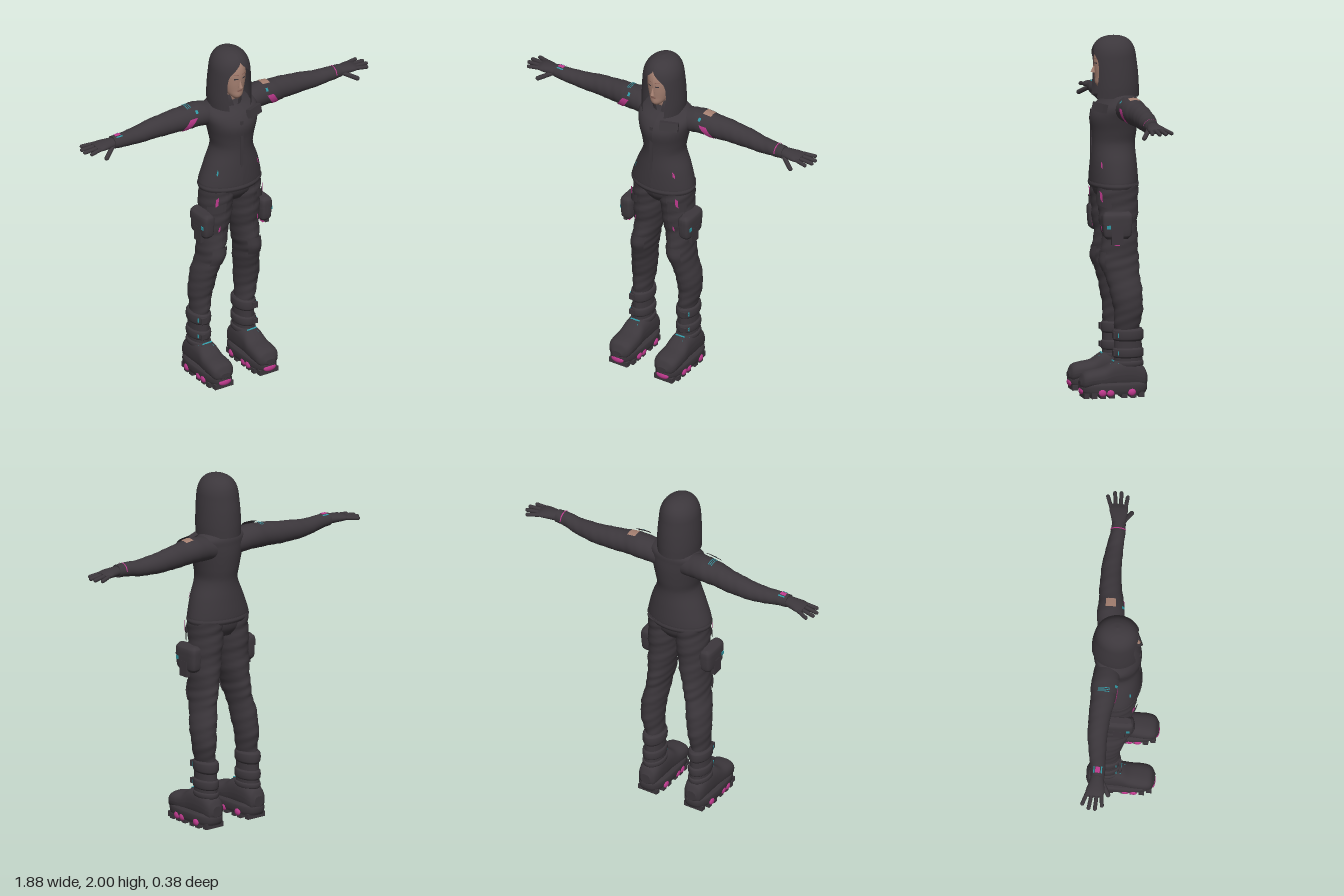
import * as THREE from 'three';

const mat = (name, color, side = THREE.DoubleSide) => {
  const m = new THREE.MeshStandardMaterial({ color, side });
  m.name = name;
  return m;
};

// Smooth interpolation of profile rows [t, a, b, ra, rb, gap] at position t
function rowAt(rows, t) {
  let i = 0;
  while (i < rows.length - 2 && t > rows[i + 1][0]) i++;
  const p = rows[i], q = rows[i + 1], h = q[0] - p[0];
  const u = Math.min(1, Math.max(0, (t - p[0]) / h));
  const slope = (k, c) => {
    const a = rows[Math.max(0, k - 1)], b = rows[Math.min(rows.length - 1, k + 1)];
    return (b[c] - a[c]) / (b[0] - a[0]);
  };
  return p.map((v, c) => {
    if (c === 0) return t;
    const u2 = u * u, u3 = u2 * u;
    return v * (2 * u3 - 3 * u2 + 1) + q[c] * (3 * u2 - 2 * u3) +
      h * (slope(i, c) * (u3 - 2 * u2 + u) + slope(i + 1, c) * (u3 - u2));
  });
}

// Point on a lofted surface; axis y uses (x,z), axis x uses (z,y), axis z uses (y,x)
function surfacePoint(rows, axis, t, ang, { power = 2, fold = 0, off = 0 } = {}) {
  const [, a, b, ra, rb] = rowAt(rows, t);
  const sup = v => Math.sign(v) * Math.abs(v) ** (2 / power);
  const k = 1 + fold * Math.sin(t * 75 + 2 * ang) * Math.sin(t * 31 + ang);
  const A = a + (Math.max(ra, 0.001) * k + off) * sup(Math.cos(ang));
  const B = b + (Math.max(rb, 0.001) * k + off) * sup(Math.sin(ang));
  return axis === 'y' ? [A, t, B] : axis === 'x' ? [t, B, A] : [B, A, t];
}

function gridGeometry(rings, caps) {
  const n = rings[0].length, pos = rings.flat(2), idx = [];
  for (let i = 0; i < rings.length - 1; i++)
    for (let j = 0; j < n - 1; j++) {
      const p = i * n + j, q = p + n;
      idx.push(p, q, p + 1, q, q + 1, p + 1);
    }
  if (caps) for (const [r, top] of [[0, false], [rings.length - 1, true]]) {
    const base = pos.length / 3, ring = rings[r];
    const mid = [0, 1, 2].map(c => ring.slice(1).reduce((s, p) => s + p[c], 0) / (n - 1));
    pos.push(...ring.flat(), ...mid);
    for (let j = 0; j < n - 1; j++)
      top ? idx.push(base + j + 1, base + j, base + n) : idx.push(base + j, base + j + 1, base + n);
  }
  const g = new THREE.BufferGeometry();
  g.setAttribute('position', new THREE.Float32BufferAttribute(pos, 3));
  g.setIndex(idx);
  g.computeVertexNormals();
  return g;
}

export function createModel() {
  const model = new THREE.Group();
  const cloth = mat('charcoal cloth', 0x3c373c), skin = mat('skin', 0xa58071);
  const pink = mat('pink accent', 0xbf3a8e), cyan = mat('cyan accent', 0x2f98a4);
  const lip = mat('lips', 0x8c6258);

  const add = (name, geo, m, x = 0, y = 0, z = 0, rot = [0, 0, 0]) => {
    const mesh = new THREE.Mesh(geo, m);
    mesh.name = name;
    mesh.position.set(x, y, z);
    mesh.rotation.set(...rot);
    model.add(mesh);
    return mesh;
  };
  const loft = (name, rows, axis, m, opt = {}) => {
    const n = 36, steps = opt.steps || 5, rings = [];
    for (let i = 0; i <= (rows.length - 1) * steps; i++) {
      const k = Math.min(Math.floor(i / steps), rows.length - 2), f = i / steps - k;
      const t = rows[k][0] + (rows[k + 1][0] - rows[k][0]) * f;
      const gap = rowAt(rows, t)[5] || 0;
      rings.push(Array.from({ length: n + 1 }, (_, j) => surfacePoint(rows, axis, t,
        Math.PI / 2 + gap + (2 * Math.PI - 2 * gap) * j / n, opt)));
    }
    return add(name, gridGeometry(rings, !opt.open), m);
  };
  // Thin painted patch that follows a lofted surface
  const patch = (name, rows, axis, t0, t1, a0, a1, m, skew = 0, off = 0.004) => {
    const rings = [];
    for (let i = 0; i <= 6; i++) rings.push(Array.from({ length: 9 }, (_, j) =>
      surfacePoint(rows, axis, t0 + (t1 - t0) * i / 6 + skew * j / 8, a0 + (a1 - a0) * j / 8, { off })));
    return add(name, gridGeometry(rings, false), m);
  };
  const box = (name, w, h, d, m, x, y, z, rot) => add(name, new THREE.BoxGeometry(w, h, d), m, x, y, z, rot);
  const capsule = (name, a, b, r, m) => {
    const p = new THREE.Vector3(...a), q = new THREE.Vector3(...b), d = q.clone().sub(p);
    const mesh = add(name, new THREE.CapsuleGeometry(r, d.length(), 5, 12), m);
    mesh.position.copy(p).add(q).multiplyScalar(0.5);
    mesh.quaternion.setFromUnitVectors(new THREE.Vector3(0, 1, 0), d.normalize());
  };

  // Head, face and neck
  const face = [[1.715, -0.01, 0.035, 0.015, 0.02], [1.735, -0.01, 0.027, 0.036, 0.045],
    [1.77, -0.01, 0, 0.058, 0.074], [1.82, -0.01, -0.005, 0.07, 0.083], [1.88, -0.01, -0.01, 0.075, 0.088],
    [1.93, -0.01, -0.02, 0.07, 0.08], [1.96, -0.01, -0.03, 0.045, 0.05]];
  loft('head', face, 'y', skin);
  loft('neck', [[1.64, -0.005, -0.06, 0.055, 0.055], [1.7, -0.007, -0.04, 0.045, 0.05],
    [1.78, -0.01, -0.03, 0.046, 0.05]], 'y', skin);
  const nose = add('nose', new THREE.ConeGeometry(0.012, 0.05, 10), skin, -0.01, 1.82, 0.08, [-0.15, 0, 0]);
  nose.scale.z = 1.2;
  patch('mouth', face, 'y', 1.768, 1.778, 1.33, 1.81, lip, 0, 0.003);
  for (const a of [1.08, 1.74]) {
    patch('eye', face, 'y', 1.846, 1.853, a, a + 0.32, cloth, 0, 0.002);
    patch('eyebrow', face, 'y', 1.872, 1.876, a - 0.04, a + 0.36, lip, 0, 0.002);
  }

  // Straight parted hair, open around the face
  loft('hair', [[1.66, -0.01, -0.035, 0.118, 0.137, 0.62], [1.72, -0.01, -0.035, 0.12, 0.137, 0.65],
    [1.8, -0.01, -0.033, 0.117, 0.134, 0.72], [1.87, -0.01, -0.03, 0.112, 0.128, 0.64],
    [1.91, -0.01, -0.03, 0.107, 0.122, 0.32], [1.945, -0.01, -0.03, 0.094, 0.11, 0.02],
    [1.975, -0.01, -0.03, 0.07, 0.085, 0], [1.993, -0.01, -0.03, 0.037, 0.047, 0],
    [2.0, -0.01, -0.03, 0.001, 0.001, 0]], 'y', cloth, { open: true });

  // Jacket with collar, hem and chest pocket
  const jacket = [[1.165, -0.01, -0.03, 0.188, 0.13], [1.2, -0.01, -0.03, 0.188, 0.134],
    [1.3, -0.003, -0.028, 0.158, 0.128], [1.4, 0, -0.027, 0.12, 0.12], [1.47, 0, -0.03, 0.129, 0.126],
    [1.55, 0, -0.029, 0.15, 0.133], [1.61, 0, -0.042, 0.165, 0.118], [1.655, 0, -0.065, 0.15, 0.09],
    [1.69, -0.003, -0.06, 0.075, 0.065]];
  loft('jacket', jacket, 'y', cloth);
  loft('hem band', [[1.16, -0.01, -0.03, 0.188, 0.131], [1.175, -0.01, -0.03, 0.193, 0.138],
    [1.19, -0.01, -0.03, 0.189, 0.135]], 'y', cloth);
  loft('collar', [[1.66, -0.005, -0.05, 0.076, 0.078, 0.15], [1.7, -0.007, -0.045, 0.07, 0.073, 0.3],
    [1.73, -0.008, -0.045, 0.064, 0.067, 0.45]], 'y', cloth, { open: true });
  box('chest pocket', 0.105, 0.05, 0.03, cloth, 0.088, 1.612, 0.068, [-0.25, 0.4, 0.06]);
  box('front placket', 0.018, 0.4, 0.006, cloth, -0.01, 1.39, 0.096);
  patch('hem mark', jacket, 'y', 1.27, 1.3, 0.72, 0.8, pink, 0.015);
  patch('hem mark', jacket, 'y', 1.26, 1.285, 2.48, 2.54, cyan, 0.01);

  // Sleeves, gloves and arm details
  for (const s of [1, -1]) {
    const side = rows => s > 0 ? rows : rows.map(([x, ...r]) => [-x, ...r]).reverse();
    const arm = side([[0.08, -0.075, 1.595, 0.07, 0.065], [0.2, -0.085, 1.61, 0.075, 0.07],
      [0.3, -0.09, 1.605, 0.068, 0.067], [0.4, -0.1, 1.598, 0.06, 0.062], [0.5, -0.102, 1.592, 0.055, 0.055],
      [0.6, -0.095, 1.589, 0.048, 0.046], [0.68, -0.085, 1.595, 0.042, 0.04], [0.75, -0.083, 1.598, 0.038, 0.036]]);
    loft('sleeve', arm, 'x', cloth, { fold: 0.03 });
    loft('hand', side([[0.72, -0.083, 1.598, 0.03, 0.027], [0.78, -0.086, 1.598, 0.042, 0.026],
      [0.83, -0.09, 1.597, 0.052, 0.021], [0.86, -0.092, 1.594, 0.048, 0.013]]), 'x', cloth);
    [[-0.134, 0.905, -0.155], [-0.107, 0.928, -0.118], [-0.079, 0.93, -0.083], [-0.053, 0.908, -0.046]]
      .forEach(([z, tip, tz]) => capsule('finger', [s * 0.845, 1.596, z], [s * tip, 1.588, tz], 0.011, cloth));
    capsule('thumb', [s * 0.76, 1.59, -0.06], [s * 0.83, 1.553, -0.018], 0.013, cloth);
    // Slanted sleeve stripe, shoulder tab and cuff band
    patch('sleeve stripe', arm, 'x', s > 0 ? 0.28 : -0.325, s > 0 ? 0.325 : -0.28, -0.8, 0.25, pink, -s * 0.05);
    patch('shoulder tab', arm, 'x', s > 0 ? 0.19 : -0.27, s > 0 ? 0.27 : -0.19, 0.5, 1.1, cloth, 0, 0.012);
    patch('shoulder light', arm, 'x', s > 0 ? 0.225 : -0.24, s > 0 ? 0.24 : -0.225, 0.55, 0.8, cyan, 0, 0.014);
    if (s > 0) {
      patch('bare shoulder patch', arm, 'x', 0.23, 0.28, 1.2, 1.95, skin);
      patch('wrist line', arm, 'x', 0.706, 0.712, 0, Math.PI, pink);
    } else {
      for (const x of [-0.27, -0.26, -0.25])
        patch('shoulder line', arm, 'x', x, x + 0.004, 1.1, 2.0, cyan);
      patch('wrist patch', arm, 'x', -0.735, -0.7, 1.3, 1.9, pink);
      for (const a of [1.0, 2.0]) patch('wrist light', arm, 'x', -0.735, -0.695, a, a + 0.18, cyan);
    }
  }

  // Trousers, pouches and boots
  loft('pelvis', [[1.08, -0.008, -0.035, 0.09, 0.08], [1.13, -0.008, -0.033, 0.165, 0.112],
    [1.2, -0.008, -0.03, 0.18, 0.122]], 'y', cloth);
  for (const s of [1, -1]) {
    const leg = [[0.36, -0.03, 0.147, -0.08, 0.048, 0.068], [0.43, -0.024, 0.15, -0.08, 0.055, 0.076],
      [0.5, -0.018, 0.15, -0.083, 0.063, 0.083], [0.6, -0.017, 0.142, -0.068, 0.066, 0.092],
      [0.7, -0.015, 0.125, -0.05, 0.062, 0.1], [0.75, -0.013, 0.118, -0.039, 0.065, 0.108],
      [0.8, -0.012, 0.111, -0.042, 0.069, 0.105], [0.9, -0.01, 0.1, -0.042, 0.079, 0.1],
      [1.0, -0.01, 0.093, -0.036, 0.086, 0.108], [1.1, -0.008, 0.088, -0.035, 0.09, 0.114],
      [1.18, -0.008, 0.085, -0.032, 0.092, 0.118]].map(([y, c, d, ...r]) => [y, c + s * d, ...r]);
    loft('trouser leg', leg, 'y', cloth, { fold: 0.05 });
    const out = a => s > 0 ? a : Math.PI - a; // mirrors an angle round the leg
    const legPatch = (name, y0, y1, a, b, m, skew, off) => patch(name, leg, 'y', y0, y1,
      Math.min(out(a), out(b)), Math.max(out(a), out(b)), m, skew * s, off);
    legPatch('thigh pocket flap', 1.05, 1.1, 0.45, 1.45, cloth, 0.03, 0.012);
    legPatch('hip strap', 1.09, 1.14, 0.88, 1.02, pink, 0.015, 0.015);
    legPatch('knee pad', 0.7, 0.81, 0.9, 2.2, cloth, 0, 0.008);
    legPatch('thigh mark', 0.92, 0.95, 1.2, 1.3, pink, 0.01, 0.006);

    // Side pouch with flap, buckle and hanging strap
    const px = -0.012 + s * 0.19;
    loft('cargo pouch', [[0.89, px, -0.01, 0.022, 0.06], [0.91, px, -0.01, 0.034, 0.078],
      [0.98, px, -0.01, 0.036, 0.082], [1.0, px, -0.01, 0.034, 0.08]], 'y', cloth, { power: 4 });
    loft('pouch flap', [[0.975, px, -0.01, 0.04, 0.086], [1.02, px, -0.01, 0.036, 0.084],
      [1.04, px, -0.01, 0.018, 0.07]], 'y', cloth, { power: 4 });
    box('buckle', 0.022, 0.09, 0.065, cloth, px + s * 0.026, 0.905, -0.005);
    box('hanging strap', 0.02, 0.055, 0.03, pink, px + s * 0.016, 0.882, -0.005);
    box('pouch light', 0.004, 0.02, 0.02, cyan, px + s * 0.038, 0.96, 0.045);

    // Boot shaft with padded straps
    const bx = -0.03 + s * 0.148;
    loft('boot shaft', [[0.1, bx, -0.08, 0.055, 0.082], [0.2, bx, -0.085, 0.053, 0.08],
      [0.38, bx, -0.082, 0.05, 0.076]], 'y', cloth);
    for (const [y, h] of [[0.345, 0.035], [0.245, 0.03], [0.185, 0.018]]) {
      loft('boot cuff', [[y - h, bx, -0.085, 0.05, 0.077], [y - h * 0.6, bx, -0.085, 0.06, 0.086],
        [y + h * 0.6, bx, -0.085, 0.06, 0.086], [y + h, bx, -0.085, 0.05, 0.076]], 'y', cloth);
      box('cuff buckle', 0.035, h, 0.012, cloth, bx + s * 0.02, y, 0.0);
      box('cuff light', 0.006, h * 0.7, 0.006, cyan, bx + s * 0.043, y, -0.022);
    }
    // Foot and chunky sole
    loft('boot foot', [[-0.188, 0.1, bx, 0.03, 0.03], [-0.17, 0.105, bx, 0.06, 0.052],
      [-0.1, 0.125, bx, 0.085, 0.063], [0, 0.122, bx, 0.08, 0.065], [0.06, 0.106, bx, 0.058, 0.07],
      [0.13, 0.1, bx, 0.05, 0.072], [0.17, 0.09, bx, 0.044, 0.06], [0.19, 0.08, bx, 0.015, 0.03]],
    'z', cloth, { power: 2.5 });
    loft('sole', [[0.022, bx, 0, 0.076, 0.18], [0.04, bx, 0, 0.081, 0.188], [0.07, bx, 0, 0.081, 0.188],
      [0.085, bx, 0, 0.072, 0.175]], 'y', cloth, { power: 2.8 });
    [-0.15, -0.1, -0.05, 0.02, 0.07, 0.12, 0.16].forEach(z =>
      box('tread lug', Math.abs(z) > 0.14 ? 0.12 : 0.15, 0.03, 0.03, cloth, bx, 0.015, z));
    for (const side of [1, -1]) for (const z of [0.075, 0.03, -0.09])
      add('side sole pad', new THREE.SphereGeometry(0.022, 14, 10), pink, bx + side * 0.074, 0.032, z).scale.set(0.55, 0.95, 1.05);
    add('toe sole pad', new THREE.SphereGeometry(0.03, 16, 10), pink, bx, 0.04, 0.18).scale.set(1.35, 0.7, 0.45);
    for (const y of [0.168, 0.185]) box('lace', 0.06, 0.005, 0.008, cyan, bx, y + 0.015, 0.018 - (y - 0.168), [0.6, 0, 0.1]);
  }
  return model;
}
